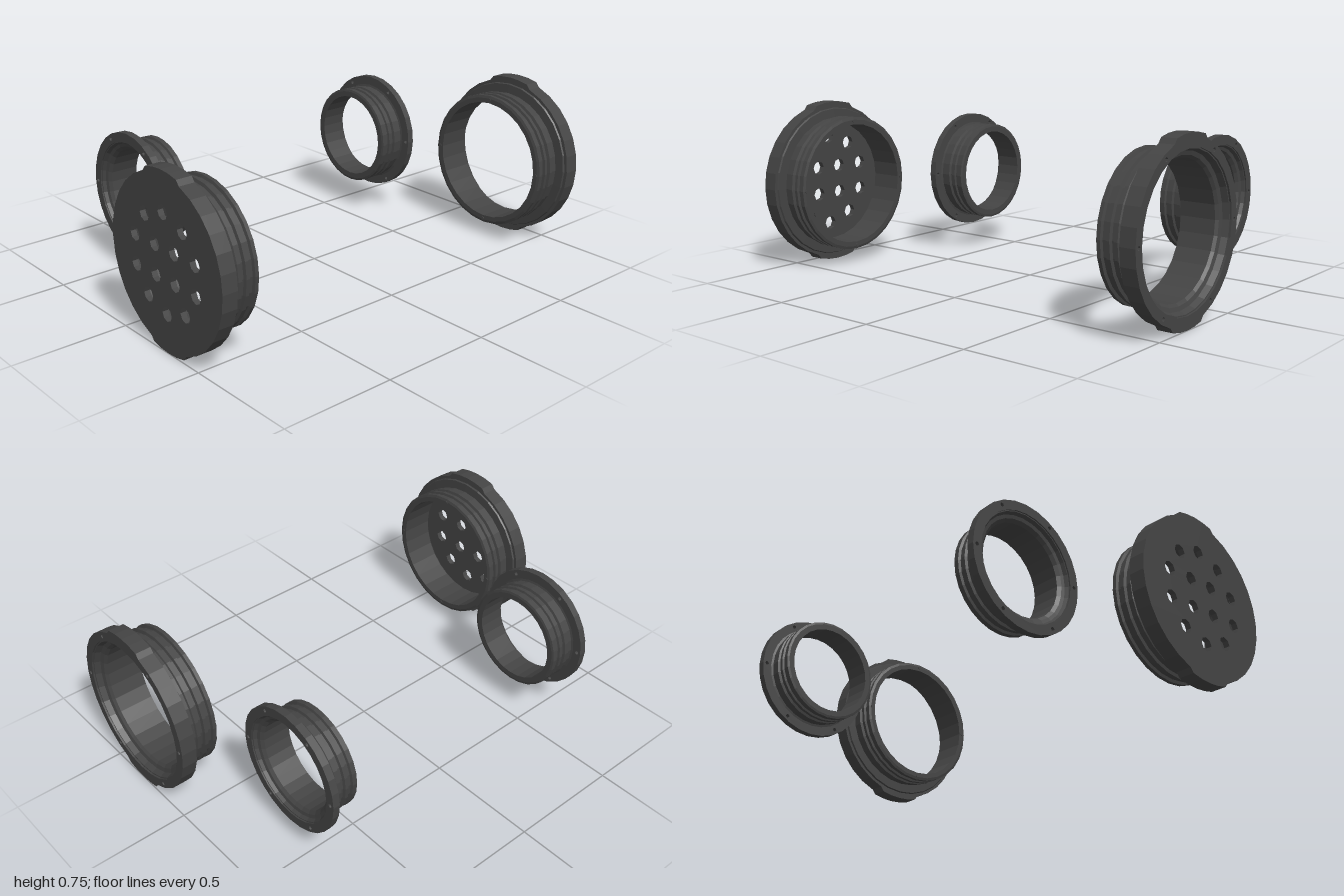
import * as THREE from 'three';

const SIDES = 28;
const material = new THREE.MeshStandardMaterial({ color: 0x444444, flatShading: true });

function add(group, geometry, name) {
  const mesh = new THREE.Mesh(geometry, material);
  mesh.name = name;
  group.add(mesh);
  return mesh;
}

// Closed [radius, depth] profile turned around the local z axis
function turned(profile) {
  const pts = [...profile, profile[0]].map(([r, z]) => new THREE.Vector2(r, z));
  return new THREE.LatheGeometry(pts, SIDES).rotateX(Math.PI / 2);
}

function circlePath(x, y, r, n) {
  const pts = [];
  for (let i = 0; i < n; i++) {
    const a = (i / n) * Math.PI * 2;
    pts.push(new THREE.Vector2(x + r * Math.cos(a), y + r * Math.sin(a)));
  }
  return new THREE.Path(pts);
}

// Round outline, optionally with a raised tab at the top and the bottom
function outline(r, tabR) {
  const pts = [];
  const n = SIDES * 2;
  const half = 0.27;
  const put = (a, rad) => pts.push(new THREE.Vector2(rad * Math.cos(a), rad * Math.sin(a)));
  for (const start of [-Math.PI / 2, Math.PI / 2]) {
    if (!tabR) {
      for (let i = 0; i < n / 4; i++) put(start + (i / (n / 4)) * Math.PI, r);
      continue;
    }
    for (let i = 0; i <= 4; i++) put(start - half + (i / 4) * half * 2, tabR);
    const from = start + half + 0.06;
    const to = start + Math.PI - half - 0.06;
    for (let i = 0; i <= 12; i++) put(from + ((to - from) * i) / 12, r);
  }
  return new THREE.Shape(pts);
}

function plate(shape, z0, z1) {
  return new THREE.ExtrudeGeometry(shape, { depth: z1 - z0, bevelEnabled: false }).translate(0, 0, z0);
}

// Flange ring with a centre bore and six screw holes
function flange(r, tabR, bore, screwR, z0, z1) {
  const shape = outline(r, tabR);
  shape.holes.push(circlePath(0, 0, bore, SIDES));
  for (let i = 0; i < 6; i++) {
    const a = (i * Math.PI) / 3;
    shape.holes.push(circlePath(screwR * Math.cos(a), screwR * Math.sin(a), 0.009, 8));
  }
  return plate(shape, z0, z1);
}

// Large ring: local z runs from the inner end (0) to the outer face (0.205)
function largeRing(capped) {
  const g = new THREE.Group();
  add(g, turned([
    [0.276, 0], [0.298, 0], [0.31, 0.004], [0.31, 0.02], [0.298, 0.024], [0.298, 0.042],
    [0.309, 0.045], [0.309, 0.06], [0.296, 0.064], [0.296, 0.076], [0.309, 0.08], [0.309, 0.096],
    [0.302, 0.1], [0.302, 0.128], [0.342, 0.13], [0.35, 0.145], [0.322, 0.15], [0.322, 0.197],
    [0.313, 0.197], [0.304, 0.172], [0.287, 0.166], [0.276, 0.155],
  ]), 'ribbedBody');
  add(g, flange(0.359, 0.374, 0.318, 0.337, 0.137, capped ? 0.18 : 0.205), 'flange');

  // Small fixing studs around the inner end
  for (let i = 0; i < 4; i++) {
    const a = (i * Math.PI) / 2;
    const stud = new THREE.CylinderGeometry(0.008, 0.008, 0.012, 8).rotateX(Math.PI / 2);
    add(g, stud, 'stud').position.set(0.292 * Math.cos(a), 0.292 * Math.sin(a), 0.003);
  }

  // Perforated cover closing the outer face
  if (capped) {
    const shape = outline(0.359, 0.374);
    const rows = [[0.207, [0]], [0.167, [-0.122, 0.122]], [0.063, [-0.195, -0.063, 0.063, 0.195]]];
    for (const [y, xs] of rows) {
      for (const x of xs) {
        for (const s of [-1, 1]) shape.holes.push(circlePath(x, s * y, 0.031, 8));
      }
    }
    add(g, plate(shape, 0.18, 0.205), 'perforatedCover');
  }
  return g;
}

// Small ring: local z runs from the inner end (0) to the outer face (0.16)
function smallRing() {
  const g = new THREE.Group();
  add(g, turned([
    [0.197, 0], [0.222, 0], [0.232, 0.003], [0.232, 0.024], [0.222, 0.028], [0.222, 0.042],
    [0.231, 0.045], [0.231, 0.06], [0.22, 0.064], [0.22, 0.076], [0.231, 0.08], [0.231, 0.1],
    [0.226, 0.104], [0.226, 0.126], [0.24, 0.13], [0.24, 0.154], [0.232, 0.154], [0.224, 0.14],
    [0.21, 0.136], [0.197, 0.124],
  ]), 'ribbedBody');
  add(g, flange(0.277, 0, 0.236, 0.257, 0.128, 0.16), 'flange');
  return g;
}

export function createModel() {
  const model = new THREE.Group();
  const place = (ring, name, side, x, y, z) => {
    ring.name = name;
    ring.rotation.y = (side * Math.PI) / 2; // outer face looks away from the middle
    ring.position.set(side * x, y, z);
    model.add(ring);
  };
  place(largeRing(false), 'largeRingLeft', 1, 0.795, 0.378, 0.308);
  place(largeRing(true), 'largeRingRight', -1, 0.795, 0.378, 0.308);
  place(smallRing(), 'smallRingLeft', 1, 0.575, 0.378, -0.388);
  place(smallRing(), 'smallRingRight', -1, 0.552, 0.378, -0.388);
  return model;
}
